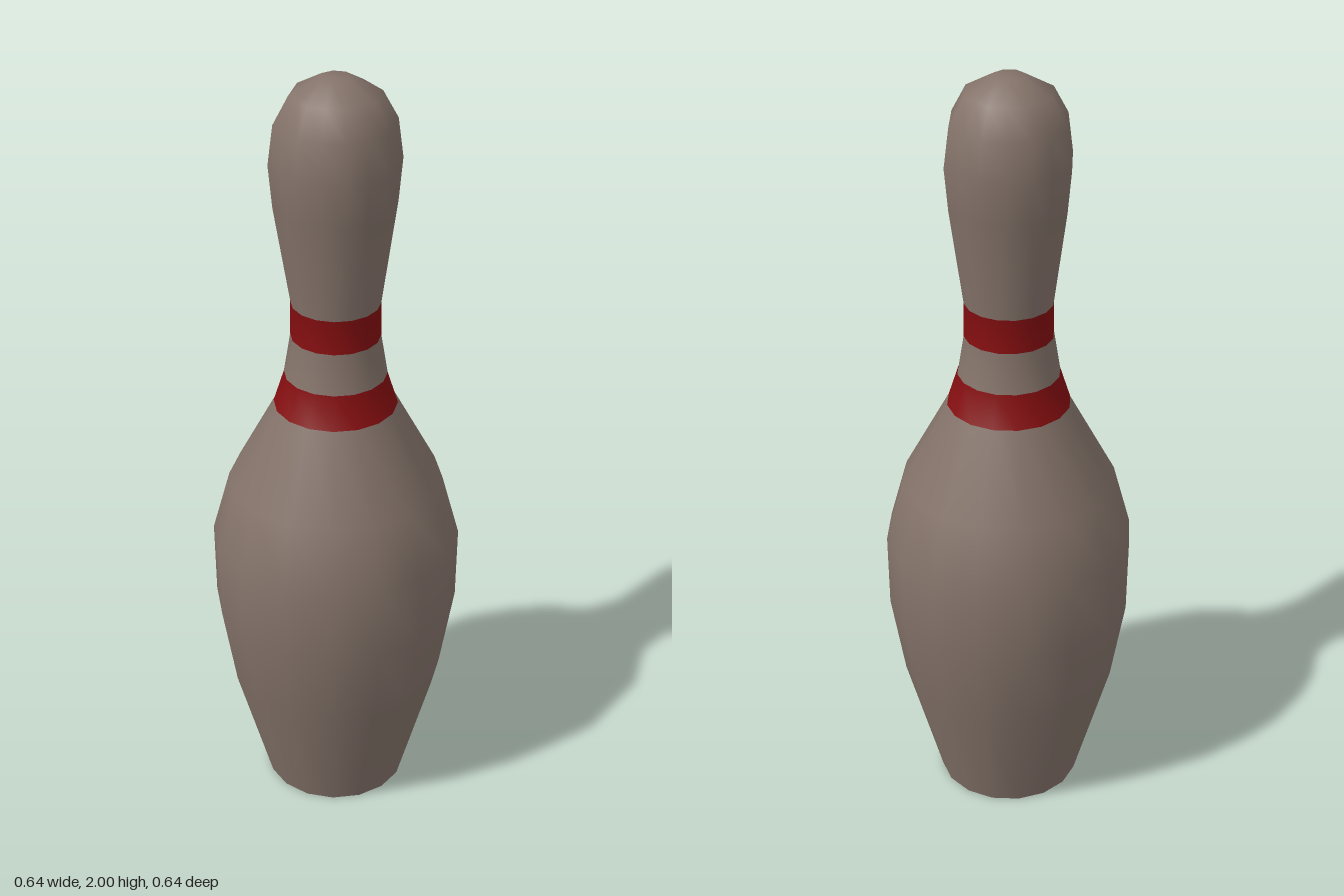
import * as THREE from 'three';

const SIDES = 16;
const UP = new THREE.Vector3(0, 1, 0);

// radius, height from base to crown
const PROFILE = [
  [0.185, 0], [0.28, 0.34], [0.317, 0.56], [0.32, 0.755], [0.275, 0.92],
  [0.157, 1.14], [0.13, 1.225], [0.113, 1.33], [0.112, 1.42],
  [0.153, 1.68], [0.163, 1.79], [0.15, 1.89], [0.112, 1.96], [0.04, 2], [0, 2],
];
const HEAD_START = 9;

// Smooth lathe whose head rings become a slightly turned octagon
function pinSurface() {
  const geo = new THREE.LatheGeometry(PROFILE.map(([r, y]) => new THREE.Vector2(r, y)), SIDES);
  const { position, normal } = geo.attributes;
  const v = new THREE.Vector3();
  for (let i = 0; i <= SIDES; i++) {
    for (let j = HEAD_START; j < PROFILE.length; j++) {
      const k = i * PROFILE.length + j;
      const pull = i % 2 ? Math.cos(Math.PI / 8) : 1;
      v.fromBufferAttribute(position, k).applyAxisAngle(UP, 0.204);
      position.setXYZ(k, v.x * pull, v.y, v.z * pull);
      v.fromBufferAttribute(normal, k).applyAxisAngle(UP, 0.204);
      normal.setXYZ(k, v.x, v.y, v.z);
    }
  }
  return geo;
}

// Cut the rings from..to out of the surface, keeping its smooth normals
function band(surface, from, to) {
  const rows = PROFILE.length - 1;
  const geo = surface.clone();
  geo.setIndex(Array.from(surface.index.array).filter((_, n) => {
    const row = Math.floor(n / 6) % rows;
    return row >= from && row < to;
  }));
  return geo.toNonIndexed();
}

export function createModel() {
  const group = new THREE.Group();
  group.name = 'bowlingPin';
  const ivory = new THREE.MeshStandardMaterial({ color: 0x84736a });
  ivory.name = 'ivory';
  const red = new THREE.MeshStandardMaterial({ color: 0x840e10 });
  red.name = 'red';

  const add = (name, geo, material) => {
    const mesh = new THREE.Mesh(geo, material);
    mesh.name = name;
    group.add(mesh);
  };

  const surface = pinSurface();
  add('belly', band(surface, 0, 5), ivory);
  add('lowerStripe', band(surface, 5, 6), red);
  add('neck', band(surface, 6, 7), ivory);
  add('upperStripe', band(surface, 7, 8), red);
  add('head', band(surface, 8, PROFILE.length - 1), ivory);

  // Flat underside
  add('base', new THREE.CircleGeometry(PROFILE[0][0], SIDES).rotateX(Math.PI / 2), ivory);
  return group;
}
